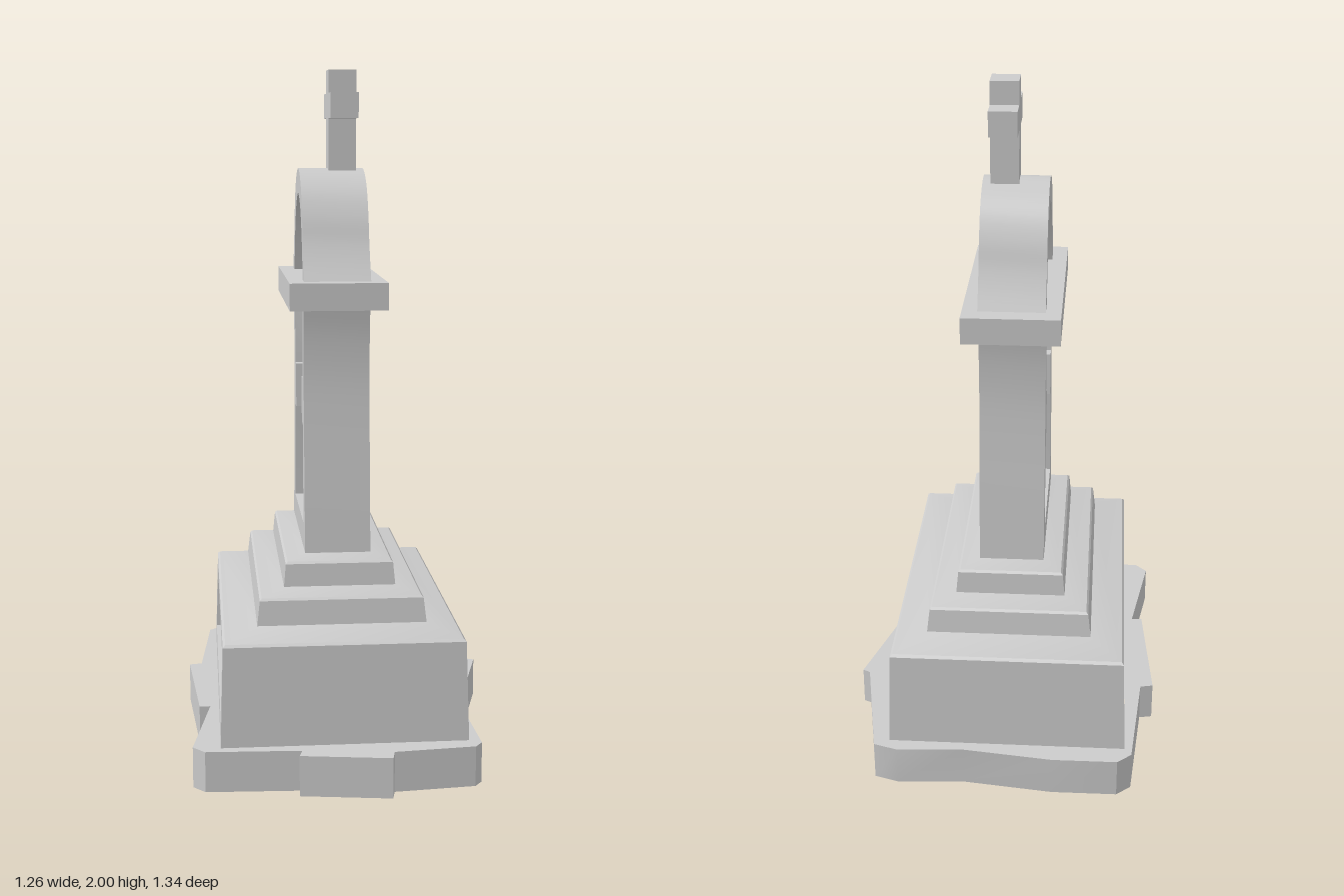
import * as THREE from 'three';
import { mergeGeometries, toCreasedNormals } from 'three/addons/utils/BufferGeometryUtils.js';

const stone = new THREE.MeshStandardMaterial({ color: 0xcccccc, side: THREE.DoubleSide });

function mesh(name, geometry) {
  const m = new THREE.Mesh(geometry, stone);
  m.name = name;
  return m;
}

// Merge parts that differ in attributes and indexing
function join(parts) {
  return mergeGeometries(parts.map((p) => {
    const g = p.index ? p.toNonIndexed() : p;
    g.deleteAttribute('uv');
    return g;
  }));
}

// Wall between two matching loops of Vector3
function strip(a, b, closed = true) {
  const pos = [];
  const count = closed ? a.length : a.length - 1;
  for (let i = 0; i < count; i++) {
    const j = (i + 1) % a.length;
    for (const p of [a[i], a[j], b[j], a[i], b[j], b[i]]) pos.push(p.x, p.y, p.z);
  }
  const g = new THREE.BufferGeometry();
  g.setAttribute('position', new THREE.Float32BufferAttribute(pos, 3));
  g.computeVertexNormals();
  return toCreasedNormals(g, 0.5);
}

// Flat face whose z follows a rule of y
function face(outline, zAt, hole) {
  const shape = new THREE.Shape(outline);
  if (hole) shape.holes.push(new THREE.Path(hole));
  const g = new THREE.ShapeGeometry(shape);
  const p = g.attributes.position;
  for (let i = 0; i < p.count; i++) p.setZ(i, zAt(p.getY(i)));
  g.computeVertexNormals();
  return g;
}

const lift = (pts, zAt) => pts.map((p) => new THREE.Vector3(p.x, p.y, zAt(p.y)));

// Face with a sunken panel
function carvedFace(outline, opening, zAt, depth) {
  const back = (y) => zAt(y) - depth;
  return [
    face(outline, zAt, opening),
    face(opening, back),
    strip(lift(opening, zAt), lift(opening, back)),
  ];
}

// Upright block of constant thickness with a sunken panel in front
function carvedBlock(outline, opening, half, depth) {
  return join([
    ...carvedFace(outline, opening, () => half, depth),
    face(outline, () => half).rotateY(Math.PI),
    strip(lift(outline, () => -half), lift(outline, () => half)),
  ]);
}

// Mirror [halfWidth, y] points (bottom to top) into a closed outline
function mirrored(points) {
  const right = points.map(([x, y]) => new THREE.Vector2(x, y));
  const left = right.filter((p) => p.x > 1e-4).reverse().map((p) => new THREE.Vector2(-p.x, p.y));
  return [...right, ...left];
}

// Smooth curve through [halfWidth, y] points
const smooth = (points, n) =>
  new THREE.SplineCurve(points.map(([x, y]) => new THREE.Vector2(x, y)))
    .getPoints(n).map((p) => [p.x, p.y]);
const arch = (points, n) =>
  new THREE.SplineCurve(mirrored(points)).getPoints(n);

// Rectangle loop starting and ending at the front
const rect = ([y, x, z]) => [[x, z], [x, -z], [-x, -z], [-x, z]]
  .map(([px, pz]) => new THREE.Vector3(px, y, pz));

export function createModel() {
  const model = new THREE.Group();
  const monument = new THREE.Group();
  monument.name = 'monument';
  monument.position.set(-0.005, 0, -0.003);
  monument.rotation.y = -0.903;
  model.add(monument);
  monument.updateMatrix();

  // Stepped plinth: [y, half width, half depth]
  const tiers = [
    [0.115, 0.518, 0.352], [0.405, 0.505, 0.343], [0.412, 0.497, 0.336],
    [0.435, 0.407, 0.243], [0.505, 0.397, 0.235], [0.511, 0.39, 0.229],
    [0.525, 0.326, 0.162], [0.59, 0.319, 0.156], [0.596, 0.312, 0.15],
    [0.608, 0.25, 0.09],
  ];
  const loops = tiers.map(rect);
  const slope = (y) => 0.352 - (0.009 * (y - 0.115)) / 0.29;
  const steps = loops.slice(1).map((loop, i) => strip(loops[i], loop, i > 0));
  const plinthFront = mirrored([[0.518, 0.115], [0.505, 0.405]]);
  const plinthPanel = mirrored([[0.45, 0.165], [0.45, 0.37]]);
  monument.add(mesh('plinth', join([
    ...steps, ...carvedFace(plinthFront, plinthPanel, slope, 0.037),
  ])));

  // Waisted shaft with a shouldered panel
  const shaftSide = smooth([[0.26, 0.6], [0.243, 0.8], [0.226, 0.98], [0.217, 1.12], [0.221, 1.24], [0.234, 1.33]], 16);
  const shaftPanel = mirrored([
    [0.192, 0.68], [0.184, 0.83], [0.173, 0.975], [0.13, 0.975],
    [0.13, 1.11], [0.165, 1.11], [0.166, 1.2], [0.175, 1.327],
  ]);
  monument.add(mesh('shaft', carvedBlock(mirrored(shaftSide), shaftPanel, 0.096, 0.03)));

  // Overhanging cornice
  const cornice = mesh('cornice', new THREE.BoxGeometry(0.615, 0.078, 0.281));
  cornice.position.y = 1.361;
  monument.add(cornice);

  // Bell-shaped head with an arched niche
  const headOutline = arch([
    [0.256, 1.395], [0.225, 1.45], [0.197, 1.51], [0.172, 1.58],
    [0.132, 1.65], [0.075, 1.695], [0, 1.715],
  ], 40);
  const niche = arch([
    [0.19, 1.398], [0.175, 1.45], [0.153, 1.51], [0.122, 1.565], [0.075, 1.615], [0, 1.642],
  ], 36);
  monument.add(mesh('head', carvedBlock(headOutline, niche, 0.096, 0.037)));

  // Cross
  const cross = new THREE.Group();
  cross.name = 'cross';
  cross.position.set(-0.003, 0, -0.032);
  const w = 0.0425, arm = 0.115;
  const half = [[w, 1.69], [w, 1.86], [arm, 1.86], [arm, 1.933], [w, 1.933], [w, 2]];
  const crossBody = mesh('crossBody', new THREE.ExtrudeGeometry(
    new THREE.Shape(mirrored(half)), { depth: 0.082, bevelEnabled: false }));
  crossBody.position.z = -0.041;
  cross.add(crossBody);
  monument.add(cross);

  // Rough ground slab, hollow beneath: outline as [x, z]
  const edge = [
    [-0.03, -0.672], [-0.1, -0.645], [-0.245, -0.515], [-0.475, -0.375], [-0.625, -0.255],
    [-0.635, -0.2], [-0.445, 0.09], [-0.47, 0.12], [-0.21, 0.4], [-0.185, 0.38],
    [-0.03, 0.66], [0.02, 0.668], [0.24, 0.51], [0.255, 0.545], [0.48, 0.415],
    [0.46, 0.375], [0.63, 0.215], [0.63, 0.18], [0.395, -0.095], [0.41, -0.1],
    [0.275, -0.43], [0.25, -0.425],
  ];
  const ring = (y) => edge.map(([x, z]) => new THREE.Vector3(x, y, z));
  const footing = loops[0].map((p) => p.clone().applyMatrix4(monument.matrix));
  const flat = (pts) => pts.map((p) => new THREE.Vector2(p.x, -p.z));
  const slabTop = face(flat(ring(0)), () => 0, flat(footing)).rotateX(-Math.PI / 2).translate(0, 0.118, 0);
  model.add(mesh('groundSlab', join([slabTop, strip(ring(0), ring(0.118))])));

  return model;
}
